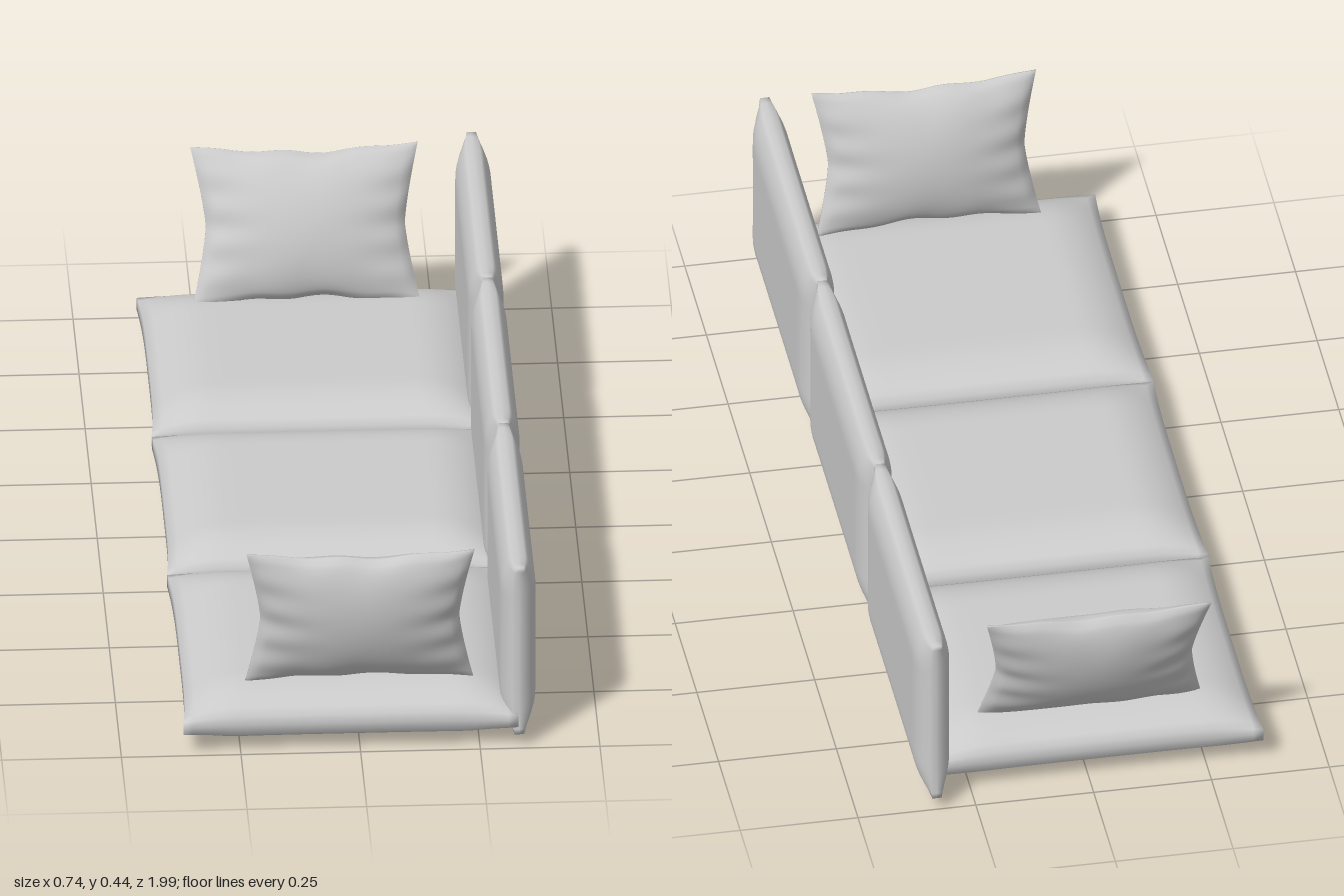
import * as THREE from 'three';
import { mergeVertices } from 'three/addons/utils/BufferGeometryUtils.js';

const material = new THREE.MeshStandardMaterial({ color: 0xcccccc });

// Subdivided slab in the XY plane, reshaped by rule(u, v) => [x, y, half thickness]
function softSlab(n, rule) {
  let geo = new THREE.BoxGeometry(2, 2, 2, n, n, 2);
  geo.deleteAttribute('normal');
  geo.deleteAttribute('uv');
  geo = mergeVertices(geo);
  const p = geo.attributes.position;
  for (let i = 0; i < p.count; i++) {
    const [x, y, h] = rule(p.getX(i), p.getY(i));
    p.setXYZ(i, x, y, p.getZ(i) * h);
  }
  geo.computeVertexNormals();
  return geo;
}

// Upholstered pad: flat middle, rounded border of the given band, narrow rim
function pad(w, h, { thick, rim, band, pinch }) {
  const ease = (d) => 1 - (1 - Math.min(d / band, 1)) ** 2;
  return softSlab(36, (u, v) => {
    const du = (1 - Math.abs(u)) * w / 2;
    const dv = (1 - Math.abs(v)) * h / 2;
    const rimHere = rim * (1 + 0.5 * (ease(du) + ease(dv)));
    return [
      u * (w / 2 - pinch * (1 - v ** 4)),
      v * (h / 2 - pinch * (1 - u ** 4)),
      rimHere + (thick - rimHere) * ease(du) * ease(dv),
    ];
  });
}

// Loose throw pillow: pointed corners, drawn-in sides, small creases at the seams
function pillow(w, h, thick) {
  return softSlab(40, (u, v) => {
    const swell = ((1 - u * u) * (1 - v * v)) ** 0.6;
    const crease = 1 - 0.16 * u ** 4 * Math.cos(v * 14) - 0.1 * v ** 4 * Math.cos(u * 11 + 1);
    return [
      u * (w / 2 - 0.03 * (1 - Math.abs(v) ** 1.3)),
      v * (h / 2 - (0.016 + 0.004 * Math.sin(u * 9)) * (1 - Math.abs(u) ** 1.5)),
      0.002 + thick * swell * crease,
    ];
  });
}

export function createModel() {
  const group = new THREE.Group();
  const add = (name, geo, position, rotation = [0, 0, 0]) => {
    const mesh = new THREE.Mesh(geo, material);
    mesh.name = name;
    mesh.position.set(...position);
    mesh.rotation.set(...rotation);
    group.add(mesh);
  };

  // Seat cushions in a row along z
  const seats = [[-0.945, -0.32], [-0.31, 0.315], [0.32, 0.995]];
  seats.forEach(([z0, z1], i) => {
    const geo = pad(0.7, z1 - z0, { thick: 0.061, rim: 0.014, band: 0.13, pinch: 0.009 });
    add(`seatCushion${i + 1}`, geo, [-0.02, 0.063, (z0 + z1) / 2], [-Math.PI / 2, 0, 0]);
  });

  // Upright back panels along the model's left side
  const panelGeo = pad(0.662, 0.39, { thick: 0.0375, rim: 0.01, band: 0.075, pinch: 0.005 });
  [-0.668, -0.004, 0.66].forEach((z, i) => {
    add(`backPanel${i + 1}`, panelGeo, [0.332, 0.225, z], [0, Math.PI / 2, 0]);
  });

  // Throw pillows at both ends, leaning outwards
  add('frontPillow', pillow(0.476, 0.33, 0.057), [0.002, 0.283, 0.922], [0.18, 0, 0]);
  add('rearPillow', pillow(0.476, 0.335, 0.057), [-0.02, 0.268, -0.893], [-0.37, 0, 0]);

  return group;
}
